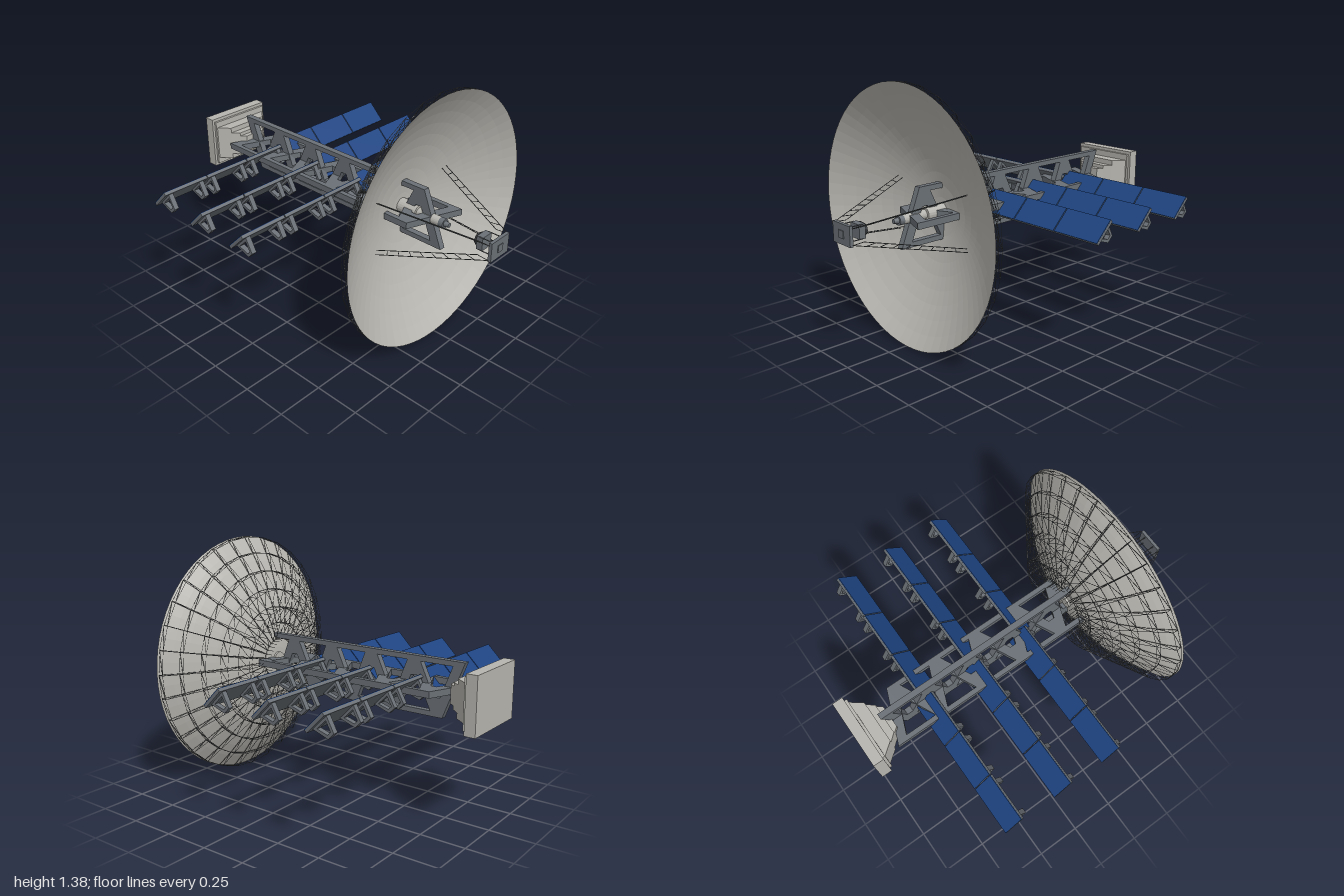
import * as THREE from 'three';
import { mergeGeometries } from 'three/addons/utils/BufferGeometryUtils.js';

const mat = (name, color, extra = {}) => {
  const m = new THREE.MeshStandardMaterial({ color, flatShading: true, ...extra });
  m.name = name;
  return m;
};
const V = (x, y, z) => new THREE.Vector3(x, y, z);
const AXIS = 0.694; // height of the long axis
const DISH_R = 0.691;
const dishX = r => 0.38 + 0.26 * (r / DISH_R) ** 2;

export function createModel() {
  const root = new THREE.Group();
  root.name = 'dishStation';
  const M = {
    truss: mat('truss grey', 0x6a7076),
    dark: mat('dark grey', 0x45494c),
    wire: mat('lattice grey', 0x55585a),
    pale: mat('pale grey', 0xb7b5af),
    dish: mat('dish grey', 0xb9b7b1, { side: THREE.DoubleSide }),
    blue: mat('solar blue', 0x1e4482),
  };
  const add = (parent, name, geo, material, x = 0, y = 0, z = 0) => {
    const m = new THREE.Mesh(geo, material);
    m.name = name;
    m.position.set(x, y, z);
    parent.add(m);
    return m;
  };
  const box = (parent, name, material, w, h, d, x, y, z) =>
    add(parent, name, new THREE.BoxGeometry(w, h, d), material, x, y, z);
  // thin four-sided rod between two points
  const rod = (a, b, r) => {
    const d = b.clone().sub(a);
    const g = new THREE.CylinderGeometry(r, r, d.length(), 4, 1, true);
    g.applyQuaternion(new THREE.Quaternion().setFromUnitVectors(V(0, 1, 0), d.normalize()));
    return g.translate((a.x + b.x) / 2, (a.y + b.y) / 2, (a.z + b.z) / 2);
  };
  // point at axial position x, radius r and angle a around the long axis
  const polar = (x, r, a) => V(x, AXIS + r * Math.sin(a), r * Math.cos(a));
  const poly = pts => pts.map(p => new THREE.Vector2(p[0], p[1]));
  // extrusion centred on its own thickness
  const slab = (shape, t) =>
    new THREE.ExtrudeGeometry(shape, { depth: t, bevelEnabled: false }).translate(0, 0, -t / 2);
  // drum along x
  const drum = (name, material, rBack, rFront, x0, x1) =>
    add(root, name, new THREE.CylinderGeometry(rFront, rBack, x1 - x0, 20).rotateZ(-Math.PI / 2),
      material, (x0 + x1) / 2, AXIS, 0);

  // Main boom: two crossed slanted plates with web openings
  const H = 0.153, STEP = 0.264, CELLS = 5;
  const plate = new THREE.Shape(poly([[-0.84, H], [-0.72, -H], [0.66, -H], [0.54, H]]));
  const top = k => -0.81 + STEP * k, bottom = k => -0.69 + STEP * k;
  const opening = (l, r, apex, sign) => {
    const at = (t, from, w) => [from + (apex - from) * t + w, sign * H * (1 - 2 * t)];
    const w = 0.027;
    return new THREE.Path(poly([at(0.09, l, w), at(0.09, r, -w), at(0.66, r, -w), at(0.66, l, w)]));
  };
  for (let k = 0; k < CELLS; k++) {
    plate.holes.push(opening(top(k), top(k + 1), bottom(k), 1));
    plate.holes.push(opening(bottom(k), bottom(k + 1), top(k + 1), -1));
  }
  add(root, 'uprightBoomPlate', slab(plate, 0.035), M.truss, 0, AXIS, 0);
  add(root, 'levelBoomPlate', slab(plate, 0.035).rotateX(Math.PI / 2), M.truss, 0, AXIS, 0);

  // Mounting base with stepped, tapering socket
  const base = new THREE.Group();
  base.name = 'mountingBase';
  root.add(base);
  box(base, 'basePlate', M.pale, 0.06, 0.305, 0.4, -0.97, AXIS, 0);
  box(base, 'baseStep', M.pale, 0.015, 0.27, 0.37, -0.933, AXIS, 0);
  const taper = (name, x0, x1, z0, z1, h) => {
    const s = new THREE.Shape(poly([[x0, -z0], [x1, -z1], [x1, z1], [x0, z0]]));
    add(base, name, slab(s, h).rotateX(Math.PI / 2), M.pale, 0, AXIS, 0);
  };
  taper('outerSocket', -0.93, -0.86, 0.18, 0.125, 0.2);
  taper('innerSocket', -0.86, -0.82, 0.125, 0.09, 0.14);
  taper('socketLip', -0.82, -0.79, 0.09, 0.065, 0.1);

  // Reflector dish, open towards +x
  const profile = [];
  for (let i = 0; i <= 10; i++) {
    const r = Math.max(0.001, DISH_R * i / 10);
    profile.push(new THREE.Vector2(r, dishX(r)));
  }
  add(root, 'reflectorDish', new THREE.LatheGeometry(profile, 64).rotateZ(-Math.PI / 2), M.dish, 0, AXIS, 0);

  // Backing lattice: radial ribs, rings and zigzags behind the dish
  const RIBS = 32;
  const radii = [0.12, 0.21, 0.3, 0.4, 0.5, 0.6, 0.689];
  const backX = r => 0.33 + Math.max(0, r - 0.3) * 0.69;
  const front = (j, i) => polar(dishX(radii[j]) - 0.012, radii[j], i / RIBS * Math.PI * 2);
  const back = (j, i) => polar(backX(radii[j]), radii[j], i / RIBS * Math.PI * 2);
  const lattice = [];
  for (let i = 0; i < RIBS; i++) {
    for (let j = 0; j < radii.length; j++) {
      const link = (a, b) => lattice.push(rod(a, b, 0.0014));
      link(front(j, i), back(j, i));
      link(front(j, i), front(j, i + 1));
      if (j > 1) {
        link(back(j, i), back(j, i + 1));
        link(front(j, i), back(j, i + 1));
      }
      if (j + 1 < radii.length) {
        link(front(j, i), front(j + 1, i));
        if (j > 0) link(back(j, i), back(j + 1, i));
        link(back(j + 1, i), front(j, i));
      }
    }
  }
  add(root, 'backingLattice', mergeGeometries(lattice), M.wire);

  // Feed horn at the dish centre
  drum('feedBody', M.pale, 0.04, 0.04, 0.37, 0.5);
  drum('feedNeck', M.pale, 0.026, 0.026, 0.5, 0.64);
  drum('feedCollar', M.truss, 0.026, 0.026, 0.64, 0.668);
  drum('feedTip', M.truss, 0.016, 0.012, 0.668, 0.695);

  // Four ladder struts carrying the secondary unit
  const ladders = [];
  const RUNGS = 9;
  for (const sy of [1, -1]) for (const sz of [1, -1]) {
    const a = Math.atan2(sy * 0.147, sz * 0.28);
    const outer = [polar(0.45, 0.32, a), polar(0.985, 0.088, a)];
    const inner = [polar(0.44, 0.295, a), polar(0.92, 0.083, a)];
    ladders.push(rod(outer[0], outer[1], 0.002), rod(inner[0], inner[1], 0.002));
    for (let i = 1; i <= RUNGS; i++) {
      const t = i / RUNGS;
      ladders.push(rod(outer[0].clone().lerp(outer[1], t), inner[0].clone().lerp(inner[1], t), 0.002));
    }
    // cage edges of the secondary unit
    ladders.push(rod(V(0.9, AXIS + sy * 0.036, sz * 0.036), V(0.985, AXIS + sy * 0.036, sz * 0.036), 0.003));
  }
  add(root, 'ladderStruts', mergeGeometries(ladders), M.wire);
  drum('secondaryMirror', M.dark, 0.03, 0.042, 0.867, 0.885);
  box(root, 'secondaryHousing', M.truss, 0.035, 0.074, 0.074, 0.902, AXIS, 0);
  box(root, 'secondaryEndPlate', M.truss, 0.018, 0.105, 0.145, 0.987, AXIS, 0);
  box(root, 'secondaryCap', M.truss, 0.004, 0.04, 0.04, 0.998, AXIS, 0);

  // Solar wings: tilted three-piece panels with hollow brackets underneath
  const bracket = new THREE.Shape(poly([[-0.048, 0], [-0.008, -0.083], [0.036, -0.083], [0.06, 0]]));
  bracket.holes.push(new THREE.Path(poly([[-0.026, -0.014], [0.041, -0.014], [0.026, -0.067], [0.002, -0.067]])));
  const bracketGeo = slab(bracket, 0.028);
  for (let row = 0; row < 3; row++) {
    for (const turn of [0, Math.PI]) {
      const wing = new THREE.Group();
      wing.name = turn ? 'rightSolarWing' : 'leftSolarWing';
      wing.position.set(-0.567 + 0.313 * row, 0.696, 0);
      wing.rotation.y = turn;
      const tilt = new THREE.Group();
      tilt.name = 'tiltedPanels';
      tilt.position.x = -0.016;
      tilt.rotation.z = Math.PI / 4;
      wing.add(tilt);
      for (let i = 0; i < 3; i++) {
        const z = 0.1415 + 0.281 * i;
        box(tilt, 'panelFrame', M.truss, 0.14, 0.016, 0.276, 0, 0, z);
        box(tilt, 'solarCells', M.blue, 0.139, 0.004, 0.275, 0, 0.01, z);
        for (const dz of [-0.1, 0.1]) add(tilt, 'panelBracket', bracketGeo, M.truss, 0, -0.007, z + dz);
      }
      root.add(wing);
    }
  }
  return root;
}
